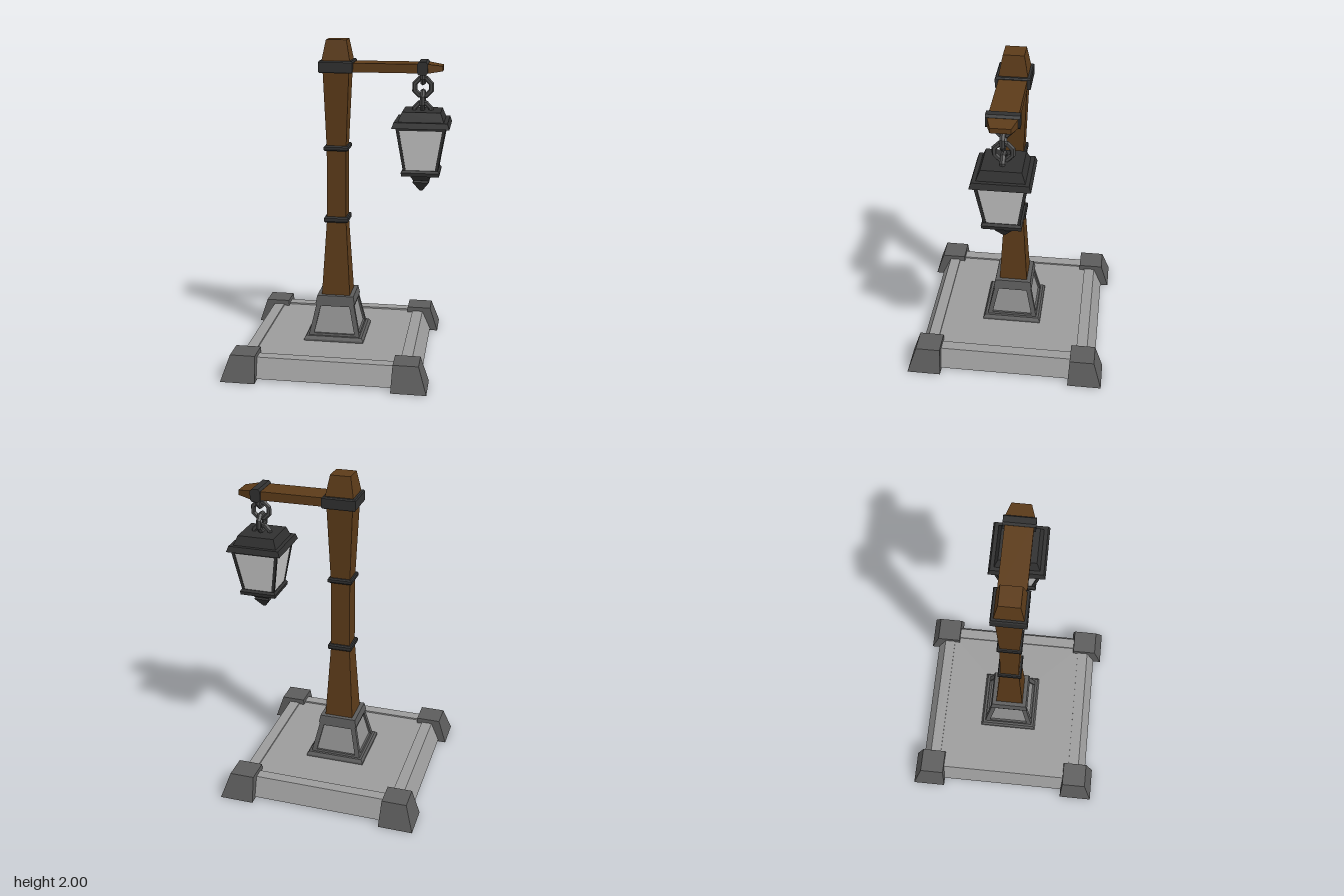
import * as THREE from 'three';

const mat = (color) => new THREE.MeshStandardMaterial({ color, flatShading: true });

export function createModel() {
  const root = new THREE.Group();
  const stone = mat(0x9c9c9c), darkStone = mat(0x5c5c5c), panelStone = mat(0x939393);
  const wood = mat(0x5c3b19), metal = mat(0x303030), glass = mat(0xcccccc), chainMetal = mat(0x464646);
  const POST_X = -0.036, LAMP_X = 0.484;

  const add = (parent, name, geometry, material) => {
    const mesh = new THREE.Mesh(geometry, material);
    mesh.name = name;
    parent.add(mesh);
    return mesh;
  };

  // Square-section solid from a [halfWidth, y] profile, listed bottom to top
  const square = (profile) => new THREE.LatheGeometry(
    profile.map(([r, y]) => new THREE.Vector2(r * Math.SQRT2, y)), 4, Math.PI / 4);

  // Six-sided block between two rectangles [x0, x1, z0, z1]
  const block = (bottom, top, y0, y1) => {
    const g = new THREE.BoxGeometry(1, 1, 1);
    const p = g.attributes.position;
    for (let i = 0; i < p.count; i++) {
      const up = p.getY(i) > 0, r = up ? top : bottom;
      p.setXYZ(i, p.getX(i) > 0 ? r[1] : r[0], up ? y1 : y0, p.getZ(i) > 0 ? r[3] : r[2]);
    }
    g.computeVertexNormals();
    return g;
  };

  // Calls fn for the four corners
  const corners = (fn) => {
    for (const sx of [-1, 1]) for (const sz of [-1, 1]) fn(sx, sz);
  };
  // Range reaching from inner to outer on the given side
  const span = (s, inner, outer) => (s > 0 ? [inner, outer] : [-outer, -inner]);

  // Four leaning corner bars of a tapered frame
  const cornerBars = (parent, name, b, t, w, y0, y1, material) => corners((sx, sz) =>
    add(parent, name, block(
      [...span(sx, b - w, b), ...span(sz, b - w, b)],
      [...span(sx, t - w, t), ...span(sz, t - w, t)], y0, y1), material));

  const stand = new THREE.Group();
  stand.name = 'stand';
  stand.position.x = POST_X;
  root.add(stand);

  // Base slab with a shallow sunken centre and four corner blocks
  add(stand, 'baseSlab', square([[0, 0.012], [0.57, 0.012], [0.516, 0.13], [0.448, 0.13],
    [0.448, 0.12], [0, 0.12]]), stone);
  corners((sx, sz) => add(stand, 'cornerBlock', block(
    [...span(sx, 0.408, 0.62), ...span(sz, 0.408, 0.62)],
    [...span(sx, 0.415, 0.568), ...span(sz, 0.415, 0.568)], 0, 0.156), darkStone));

  // Pedestal: plinth, recessed panels, frame and cap
  add(stand, 'plinth', square([[0, 0.115], [0.188, 0.115], [0.188, 0.132], [0.176, 0.15], [0, 0.15]]), darkStone);
  add(stand, 'pedestalPanels', square([[0.15, 0.14], [0.104, 0.36]]), panelStone);
  cornerBars(stand, 'pedestalFrame', 0.162, 0.117, 0.03, 0.148, 0.355, darkStone);
  add(stand, 'pedestalLowerRail', square([[0.14, 0.148], [0.162, 0.148], [0.158, 0.163], [0.14, 0.163]]), darkStone);
  add(stand, 'pedestalUpperRail', square([[0.09, 0.333], [0.121, 0.333], [0.117, 0.355], [0.09, 0.355]]), darkStone);
  add(stand, 'pedestalCap', square([[0, 0.35], [0.125, 0.35], [0.115, 0.4], [0, 0.4]]), darkStone);

  // Wooden post
  add(stand, 'post', square([[0.09, 0.39], [0.06, 0.885], [0.06, 1.34], [0.079, 1.8],
    [0.085, 1.88], [0.062, 2], [0, 2]]), wood);

  // Metal bands round the post
  const band = (y, h, r) => add(stand, 'postBand', square([[0, y - h], [r - 0.006, y - h], [r, y - h + 0.008],
    [r, y + h - 0.008], [r - 0.006, y + h], [0, y + h]]), metal);
  band(0.887, 0.018, 0.076);
  band(1.34, 0.016, 0.076);
  band(1.84, 0.036, 0.104);

  // Arm with tapered tip, laid along x
  const arm = new THREE.Group();
  arm.name = 'arm';
  arm.position.y = 1.837;
  arm.rotation.z = -Math.PI / 2;
  root.add(arm);
  const armEnd = [-0.027, 0.027, -0.083, 0.083];
  add(arm, 'armBeam', block(armEnd, armEnd, 0, 0.52), wood);
  add(arm, 'armTip', block(armEnd, [-0.015, 0.015, -0.058, 0.058], 0.52, 0.604), wood);

  // Collar with clipped edges that carries the chain
  const collar = new THREE.Shape([[-0.02, -0.04], [0.02, -0.04], [0.032, -0.026], [0.032, 0.026],
    [0.02, 0.04], [-0.02, 0.04], [-0.032, 0.026], [-0.032, -0.026]].map(([x, y]) => new THREE.Vector2(x, y)));
  add(root, 'armCollar', new THREE.ExtrudeGeometry(collar, { depth: 0.19, bevelEnabled: false }), metal)
    .position.set(LAMP_X, 1.839, -0.095);

  // Chain links, alternately turned
  [1.798, 1.72, 1.642, 1.572].forEach((y, i) => {
    const link = add(root, 'chainLink', new THREE.TorusGeometry(0.054, 0.0165, 6, 8)
      .rotateZ(Math.PI / 8), chainMetal);
    link.position.set(LAMP_X, y, 0);
    link.rotation.y = i % 2 ? 0 : Math.PI / 2;
  });

  // Lantern
  const lantern = new THREE.Group();
  lantern.name = 'lantern';
  lantern.position.x = LAMP_X;
  root.add(lantern);
  add(lantern, 'lanternRoof', square([[0, 1.49], [0.172, 1.49], [0.16, 1.525], [0.137, 1.525],
    [0.115, 1.582], [0, 1.582]]), metal);
  add(lantern, 'lanternGlass', square([[0.1, 1.21], [0.143, 1.495]]), glass);
  cornerBars(lantern, 'lanternFrame', 0.104, 0.15, 0.018, 1.215, 1.495, metal);
  add(lantern, 'lanternUpperRail', square([[0.13, 1.475], [0.147, 1.475], [0.15, 1.495]]), metal);
  add(lantern, 'lanternFloor', square([[0, 1.19], [0.114, 1.19], [0.117, 1.212], [0.106, 1.226], [0, 1.226]]), metal);
  add(lantern, 'lanternFinial', square([[0, 1.08], [0.008, 1.08], [0.05, 1.14], [0.04, 1.15],
    [0.047, 1.152], [0.062, 1.178], [0.062, 1.195]]), metal);

  return root;
}
